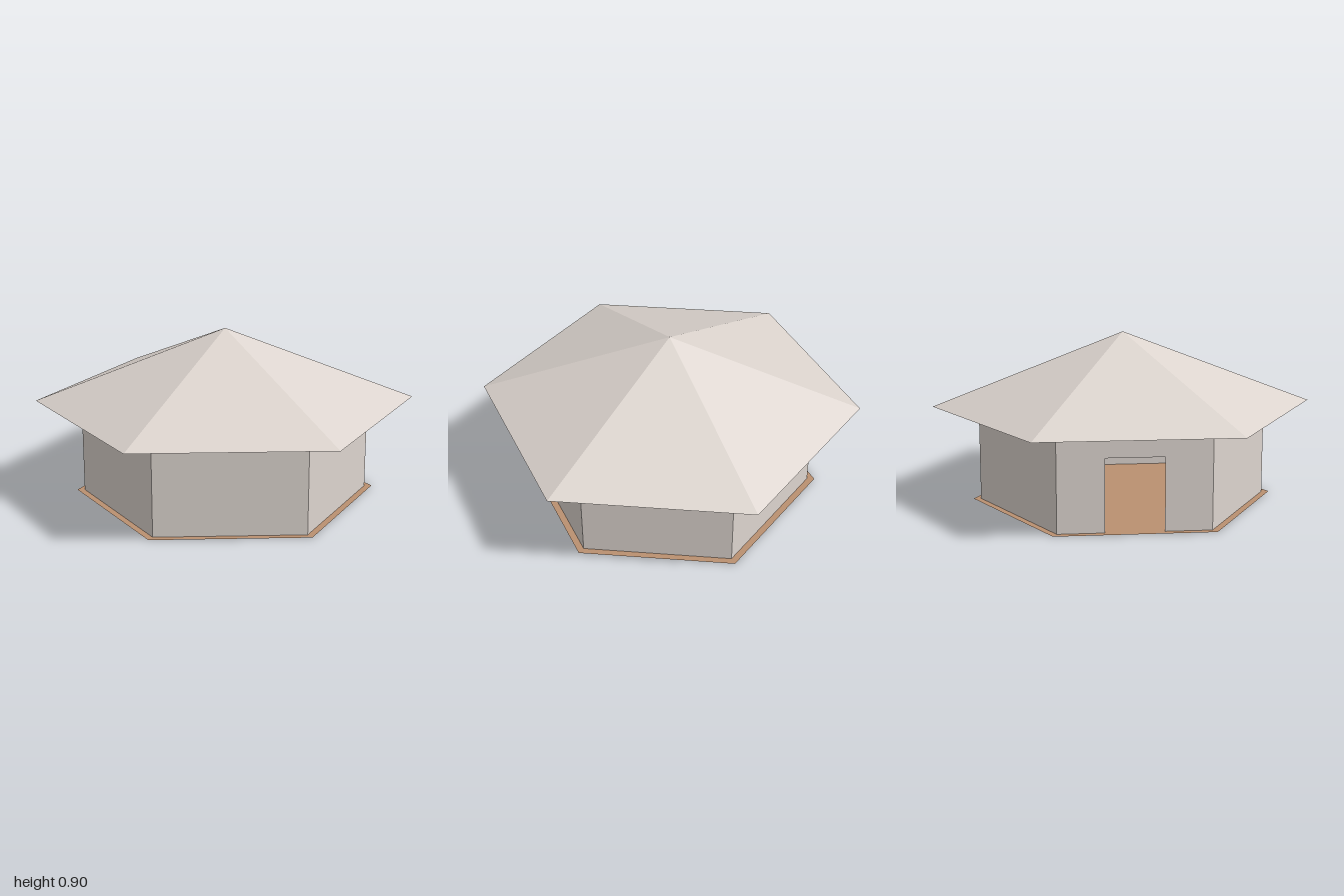
import * as THREE from 'three';

const SIDES = 6;
const TURN = THREE.MathUtils.degToRad(-7.8); // angle of the first corner from +z
const STEP = (Math.PI * 2) / SIDES;
const WALL_R = 0.767, WALL_H = 0.504;
const FLOOR_R = 0.807, FLOOR_Y = 0.002;
const ROOF_R = 1.009, EAVES = 0.512, APEX = 0.9;
const DOOR_W = 0.295, DOOR_H = 0.378, DOOR_SIDE = 3;

// Flat wall panel standing on y = 0, optionally with a doorway cut from its foot
function wallShape(width, hasDoor) {
  const w = width / 2, d = DOOR_W / 2;
  const points = [[-w, 0]];
  if (hasDoor) points.push([-d, 0], [-d, DOOR_H], [d, DOOR_H], [d, 0]);
  points.push([w, 0], [w, WALL_H], [-w, WALL_H]);
  return new THREE.Shape(points.map(([x, y]) => new THREE.Vector2(x, y)));
}

export function createModel() {
  const hut = new THREE.Group();
  hut.name = 'hexagonalHut';

  const plaster = new THREE.MeshStandardMaterial({ color: 0xdcd4ce, side: THREE.DoubleSide });
  plaster.name = 'pale plaster';
  const timber = new THREE.MeshStandardMaterial({ color: 0xba9070, side: THREE.DoubleSide });
  timber.name = 'tan timber';

  // Thin hexagonal floor, a little wider than the walls
  const floorGeometry = new THREE.CircleGeometry(FLOOR_R, SIDES, TURN - Math.PI / 2);
  floorGeometry.rotateX(-Math.PI / 2);
  const floor = new THREE.Mesh(floorGeometry, timber);
  floor.name = 'floor';
  floor.position.y = FLOOR_Y;
  hut.add(floor);

  // Six wall panels, one with an open doorway
  const walls = new THREE.Group();
  walls.name = 'walls';
  const apothem = WALL_R * Math.cos(STEP / 2);
  for (let i = 0; i < SIDES; i++) {
    const hasDoor = i === DOOR_SIDE;
    const panel = new THREE.Mesh(new THREE.ShapeGeometry(wallShape(WALL_R, hasDoor)), plaster);
    panel.name = hasDoor ? 'doorwayWall' : 'wall';
    const angle = TURN + STEP * (i + 0.5);
    panel.position.set(Math.sin(angle) * apothem, 0, Math.cos(angle) * apothem);
    panel.rotation.y = angle;
    walls.add(panel);
  }
  hut.add(walls);

  // Open pyramid roof with wide eaves and flat facets
  const roofGeometry = new THREE.ConeGeometry(ROOF_R, APEX - EAVES, SIDES, 1, true, TURN).toNonIndexed();
  roofGeometry.computeVertexNormals();
  const roof = new THREE.Mesh(roofGeometry, plaster);
  roof.name = 'roof';
  roof.position.y = (APEX + EAVES) / 2;
  hut.add(roof);

  return hut;
}
